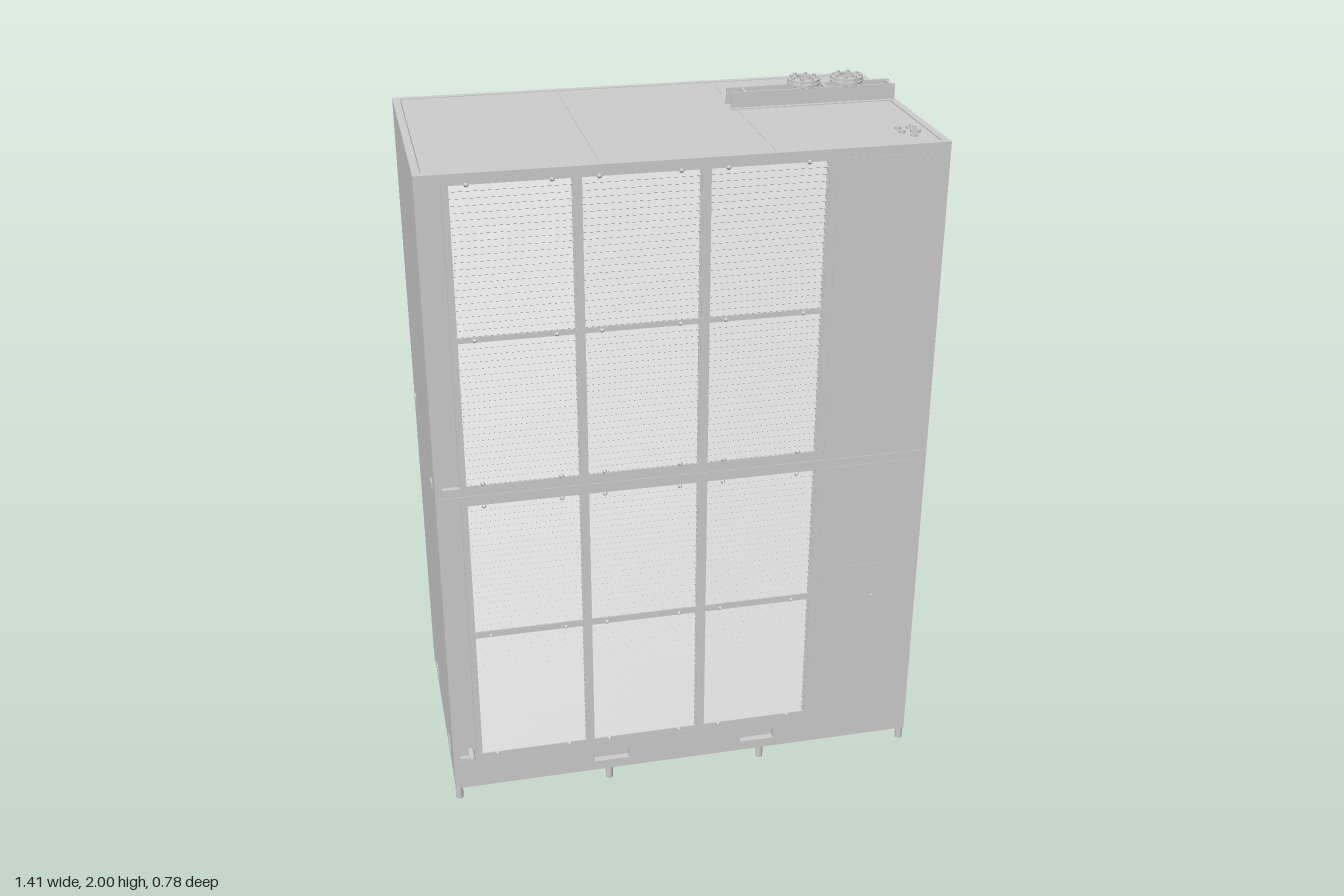
import * as THREE from 'three';
import { mergeGeometries } from 'three/addons/utils/BufferGeometryUtils.js';

const X = 0.7, ZF = 0.355, ZB = -0.39, TOP = 1.925, T = 0.02;

export function createModel() {
  const model = new THREE.Group();
  const mat = new THREE.MeshStandardMaterial({ color: 0xcccccc });

  const add = (name, geo) => {
    const mesh = new THREE.Mesh(geo, mat);
    mesh.name = name;
    model.add(mesh);
    return mesh;
  };
  // box geometry from its limits
  const box = (x0, x1, y0, y1, z0, z1) =>
    new THREE.BoxGeometry(x1 - x0, y1 - y0, z1 - z0)
      .translate((x0 + x1) / 2, (y0 + y1) / 2, (z0 + z1) / 2);
  const merged = (name, list) => add(name, mergeGeometries(list));
  const cyl = (r, h, x, y, z, n = 16) => new THREE.CylinderGeometry(r, r, h, n).translate(x, y, z);

  // upright sheet in the xy plane with rectangular holes [x0, x1, y0, y1]
  const sheet = (x0, x1, y0, y1, holes = []) => {
    const trace = (p, [a, b, c, d]) => p.moveTo(a, c).lineTo(b, c).lineTo(b, d).lineTo(a, d).closePath();
    const shape = trace(new THREE.Shape(), [x0, x1, y0, y1]);
    for (const h of holes) shape.holes.push(trace(new THREE.Path(), h));
    return new THREE.ExtrudeGeometry(shape, { depth: T, bevelEnabled: false });
  };

  const columns = [[-0.62, -0.3], [-0.285, 0.032], [0.05, 0.37]];
  const rows = [[0.155, 0.56], [0.58, 0.99], [1.05, 1.47], [1.485, 1.895]];
  const modules = [[0.1405, 1.0195], [1.0205, TOP]];
  const channels = [[0.145, 1.005], [1.045, 1.905]];

  // front sheets with louvre openings and the drain channel
  modules.forEach(([y0, y1], i) => {
    const holes = [];
    for (const [c0, c1] of columns) for (const [r0, r1] of rows.slice(i * 2, i * 2 + 2)) holes.push([c0, c1, r0, r1]);
    holes.push([-0.68, -0.632, ...channels[i]]);
    add('frontSheet', sheet(-X, X, y0, y1, holes).translate(0, 0, ZF - T));
    add('serviceDoor', box(0.392, 0.668, y0 + 0.02, y1 - 0.025, ZF - T, ZF + 0.0015));
    add('channelBack', box(-0.69, -0.625, y0, y1, ZF - 0.03, ZF - 0.015));
  });

  // chevron louvre blades, one leaf sloping in and one sloping out
  for (const [c0, c1] of columns) for (const [r0, r1] of rows) {
    const blades = [], n = 22, pitch = (r1 - r0) / n, slope = 0.95;
    for (let i = 0; i < n; i++) for (const s of [-1, 1])
      blades.push(new THREE.BoxGeometry(c1 - c0 - 0.01, 0.002, 0.019)
        .rotateX(s * slope)
        .translate((c0 + c1) / 2, r0 + (i + 0.5) * pitch, ZF - 0.0125 + s * 0.0055));
    for (const x of [c0, c1 - 0.006]) blades.push(box(x, x + 0.006, r0, r1, ZF - 0.025, ZF - 0.002));
    merged('louvrePanel', blades);
  }

  // panel catches above and below each louvre panel
  const catches = [];
  for (const y of [1.895, 1.475, 1.055, 0.985, 0.565, 0.15])
    for (const [c0, c1] of columns) for (const x of [c0 + 0.05, c1 - 0.055])
      catches.push(new THREE.ConeGeometry(0.007, 0.01, 8).rotateX(Math.PI / 2).translate(x, y, ZF + 0.004));
  merged('panelCatches', catches);

  // back sheets with three open bays each and horizontal guard bars
  const bays = [[-0.635, -0.245], [-0.22, 0.22], [0.245, 0.55]];
  const backOpenings = [[0.21, 0.97], [1.09, 1.865]];
  modules.forEach(([y0, y1], i) => {
    const [b0, b1] = backOpenings[i];
    add('backSheet', sheet(-X, X, y0, y1, bays.map(b => [...b, b0, b1])).translate(0, 0, ZB));
    const bars = [], n = 13;
    for (let k = 1; k < n; k++) {
      const y = b0 + (b1 - b0) * k / n;
      bars.push(box(-0.64, 0.555, y - 0.007, y + 0.007, ZB + T, ZB + T + 0.006));
    }
    merged('guardBars', bars);
  });

  // side sheets
  for (const [y0, y1] of modules) for (const s of [-1, 1]) {
    const a = s * X, b = s * (X - T);
    add('sideSheet', box(Math.min(a, b), Math.max(a, b), y0, y1, ZB + T, ZF - T));
  }
  add('sideSeam', box(X - 0.001, X + 0.001, 0.14, 0.68, -0.022, -0.018));

  // inner decks and partitions
  add('lowerDeck', box(-0.69, 0.69, 0.125, 0.15, ZB + 0.01, ZF - 0.026));
  add('middleDeck', box(-0.685, 0.685, 0.995, 1.045, ZB + 0.008, ZF - 0.026));
  add('ceiling', box(-0.69, 0.69, 1.895, 1.91, ZB + 0.01, ZF - 0.01));
  add('innerWallLeft', box(0.56, 0.57, 0.14, 1.9, ZB + T, ZF - 0.03));
  add('innerWallRight', box(-0.655, -0.645, 0.14, 1.9, ZB + T, ZF - 0.03));

  // roof in three panels inside a rim
  for (const [a, b] of [[-0.677, -0.2305], [-0.2295, 0.2295], [0.2305, 0.677]])
    add('roofPanel', box(a, b, 1.905, TOP - 0.001, ZB + T + 0.003, ZF - T - 0.003));

  // base frame with lifting pockets
  const pocketsX = [[-0.28, -0.175, 0.07, 0.105], [0.17, 0.275, 0.07, 0.105]];
  const pocketsZ = [[-0.255, -0.155, 0.07, 0.105], [0.13, 0.23, 0.07, 0.105]];
  add('baseFront', sheet(-X, X, 0.04, 0.14, pocketsX).translate(0, 0, ZF - T));
  add('baseBack', sheet(-X, X, 0.04, 0.14, pocketsX).translate(0, 0, ZB));
  // side sheets are turned so that local x becomes -z
  const flipped = pocketsZ.map(([a, b, c, d]) => [-b, -a, c, d]);
  for (const x of [-X, X - T])
    add('baseSide', sheet(-ZF + T, -ZB - T, 0.04, 0.14, flipped).rotateY(Math.PI / 2).translate(x, 0, 0));
  const liners = [];
  for (const [a, b] of pocketsX) for (const z of [ZF - 0.03, ZB + T])
    liners.push(box(a - 0.01, b + 0.01, 0.06, 0.115, z, z + 0.01));
  for (const [a, b] of pocketsZ) for (const x of [-X + T, X - 0.03])
    liners.push(box(x, x + 0.01, 0.06, 0.115, a - 0.01, b + 0.01));
  merged('pocketLiners', liners);
  add('bottomPlate', box(-0.68, 0.68, 0.06, 0.07, ZB + T, ZF - T));
  for (const x of [-0.235, 0.235]) add('crossBeam', box(x - 0.014, x + 0.014, 0.04, 0.1, ZB + T, ZF - T));

  // feet
  for (const x of [-0.689, -0.235, 0.235, 0.689]) for (const z of [ZF - 0.012, ZB + 0.012])
    add('foot', cyl(0.011, 0.045, x, 0.0225, z, 12));

  // joint brackets between the two modules
  const joints = [];
  for (const x of [-0.6, -0.3, 0, 0.3, 0.6]) joints.push(box(x - 0.006, x + 0.006, 1.01, 1.03, ZB - 0.003, ZB + 0.005));
  for (const z of [-0.3, 0.26]) for (const s of [-1, 1])
    joints.push(new THREE.BoxGeometry(0.01, 0.02, 0.032).translate(s * 0.699, 1.02, z));
  merged('jointBrackets', joints);

  // control display, lock and drain pipe
  add('display', box(0.487, 0.6, 0.575, 0.66, ZF - 0.005, ZF + 0.003));
  add('doorLock', cyl(0.007, 0.014, 0, 0, 0).rotateX(Math.PI / 2).translate(0.562, 0.547, ZF + 0.003));
  add('drainPipe', cyl(0.01, 0.06, 0, 0, 0).rotateX(Math.PI / 2).translate(-0.647, 0.16, 0.36));

  // pipe rack on the roof: open trough with thin feet and cross plates
  const rack = [];
  for (const [wall, foot] of [[-0.13, -0.15], [-0.078, -0.064]]) {
    rack.push(box(0.215, 0.695, TOP - 0.005, 1.97, wall - 0.002, wall + 0.002));
    rack.push(box(0.215, 0.695, TOP - 0.005, TOP + 0.0015, Math.min(wall, foot), Math.max(wall, foot)));
  }
  for (const x of [0.26, 0.495, 0.685]) rack.push(box(x - 0.004, x + 0.004, TOP - 0.005, 1.968, -0.13, -0.078));
  merged('pipeRack', rack);

  // flanged pipe connections with bolts
  const ring = (rIn, rOut, y0, y1) => {
    const geo = new THREE.LatheGeometry(
      [[rIn, y0], [rOut, y0], [rOut, y1], [rIn, y1], [rIn, y0]].map(p => new THREE.Vector2(...p)), 32).toNonIndexed();
    geo.computeVertexNormals();
    return geo;
  };
  for (const x of [0.432, 0.558]) {
    const parts = [ring(0.02, 0.046, 1.977, 1.984), ring(0.02, 0.046, 1.987, 1.994), ring(0.02, 0.024, TOP - 0.005, 1.998)];
    for (let i = 0; i < 8; i++) {
      const a = (i + 0.5) * Math.PI / 4;
      parts.push(cyl(0.005, 0.03, 0.037 * Math.cos(a), 1.985, 0.037 * Math.sin(a), 6).toNonIndexed());
    }
    merged('pipeFlange', parts).position.set(x, 0, -0.102);
  }

  // cable glands
  for (const [x, z, r] of [[0.602, 0.21, 0.009], [0.64, 0.208, 0.014], [0.602, 0.245, 0.009], [0.64, 0.245, 0.014], [0.622, 0.283, 0.009]])
    add('cableGland', ring(r * 0.5, r, TOP - 0.005, TOP + 0.006)).position.set(x, 0, z);

  return model;
}
